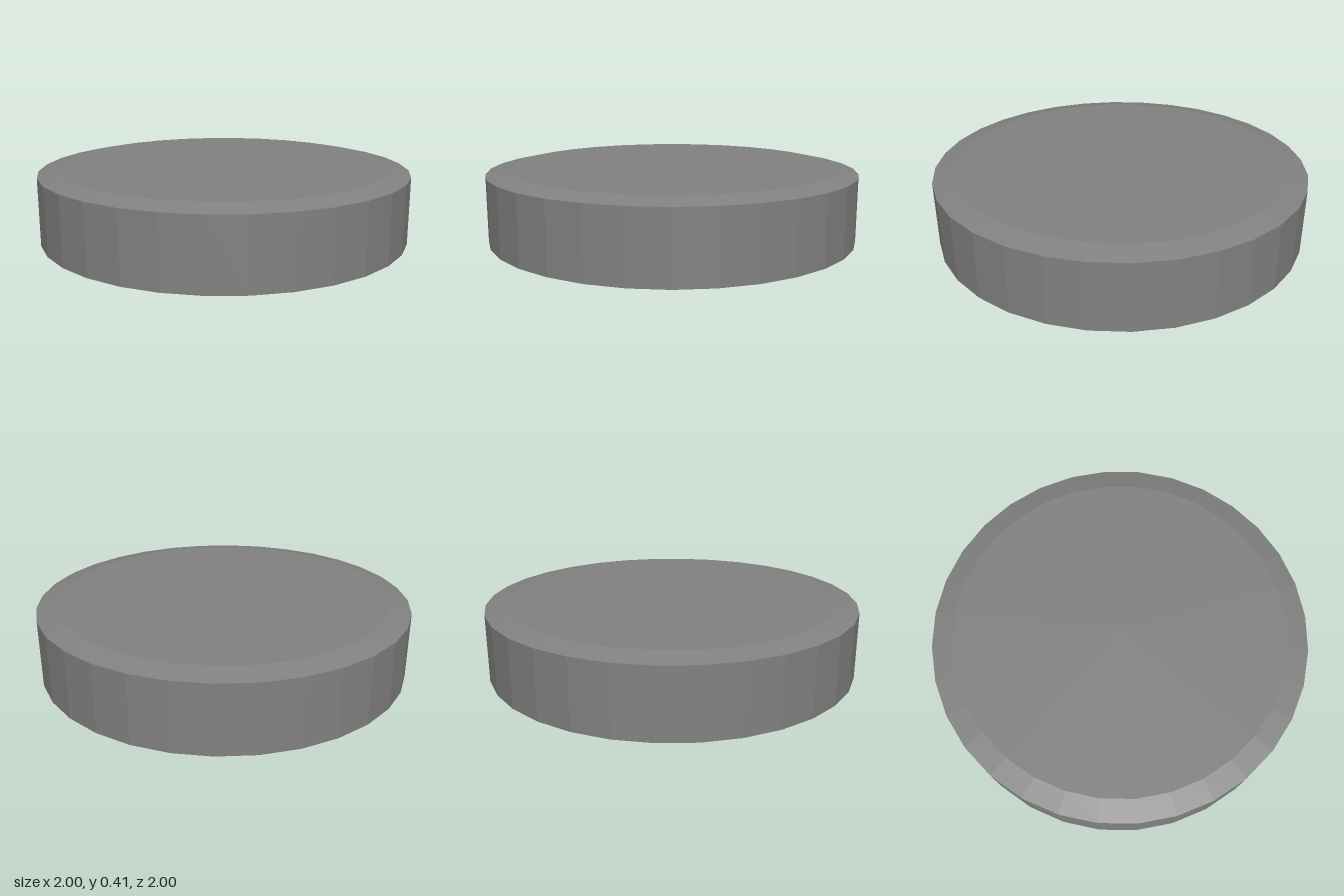
import * as THREE from 'three';

const SIDES = 32;
const STEP = (Math.PI * 2) / SIDES;
const CORNER = 1 / Math.cos(STEP / 2); // flat distance to corner radius

// Faceted ring or disc with flats facing the axes
function turned(name, profile, material) {
  const points = profile.map(([r, y]) => new THREE.Vector2(r * CORNER, y));
  const mesh = new THREE.Mesh(new THREE.LatheGeometry(points, SIDES, STEP / 2), material);
  mesh.name = name;
  return mesh;
}

export function createModel() {
  const material = new THREE.MeshStandardMaterial({ color: 0x828282, flatShading: true });
  const outer = 1, inner = 0.885, height = 0.41, bevel = 0.025, recess = 0.18;

  const group = new THREE.Group();
  group.name = 'roundCap';
  group.add(
    // Top disc with its shallow sloped edge
    turned('topPlate', [[outer, height - bevel], [inner, height], [0, height]], material),
    // Recess wall, sloped bottom rim and outer wall
    turned('sideWall', [[inner, recess], [inner, 0], [outer, bevel], [outer, height - bevel]], material),
    // Ceiling of the hollow underside
    turned('recessCeiling', [[0, recess], [inner, recess]], material)
  );
  return group;
}
